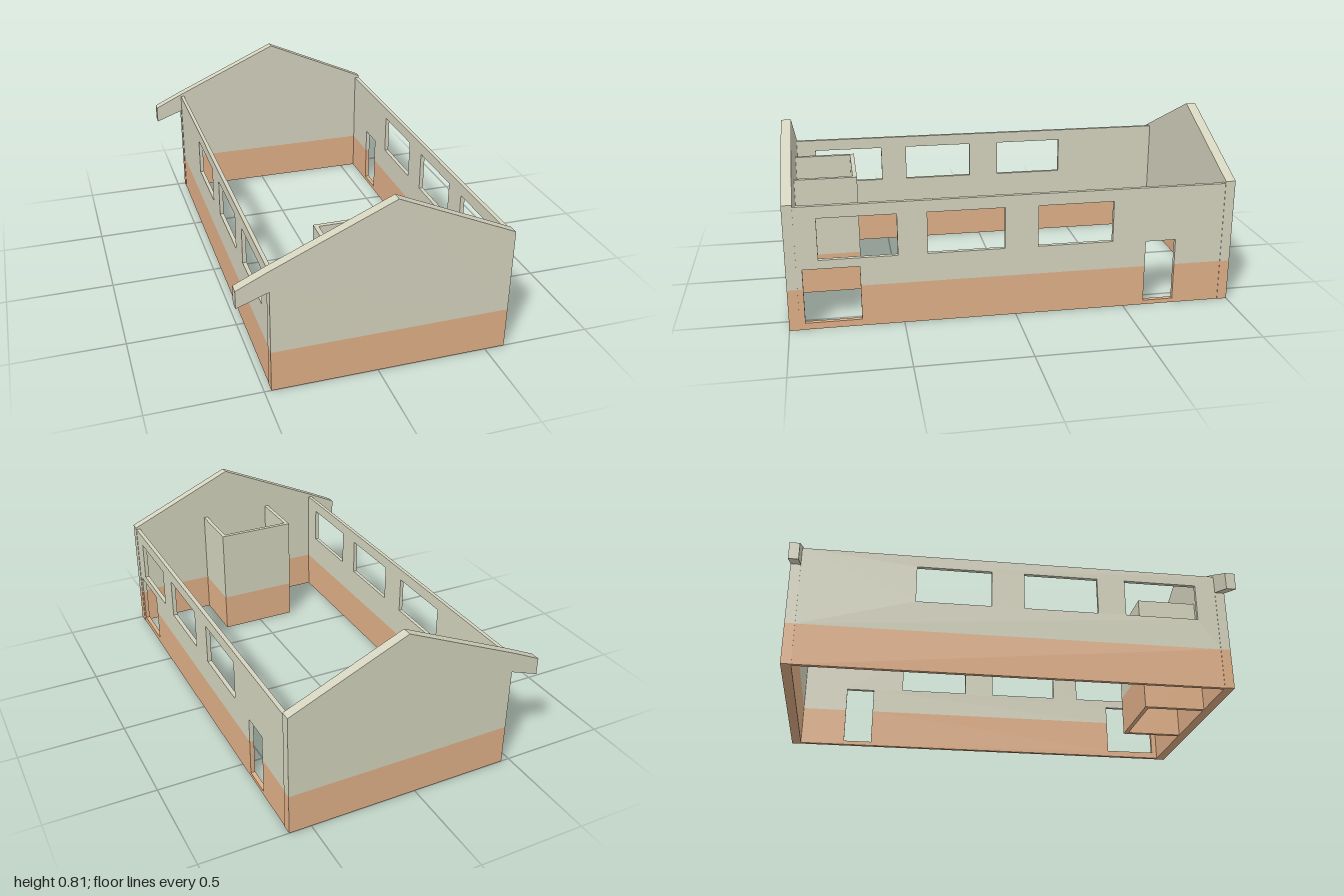
import * as THREE from 'three';

const PLASTER = new THREE.MeshStandardMaterial({ color: 0xd5d4bf });
const BASE = new THREE.MeshStandardMaterial({ color: 0xe0b088 });
const BAND = 0.19;   // top of the coloured base band
const EAVE = 0.565;  // top of the side walls
const END = 0.955;   // inner face of the gable walls

// The plan leans very slightly out of square
const LEAN = new THREE.Matrix4().set(1, 0, -0.005, 0, 0, 1, 0, 0, 0, 0, 1, 0, 0, 0, 0, 1);

const toShape = (pts) => new THREE.Shape(pts.map(([x, y]) => new THREE.Vector2(x, y)));

function addMesh(parent, name, geometry, material) {
  const mesh = new THREE.Mesh(geometry.applyMatrix4(LEAN), material);
  mesh.name = name;
  parent.add(mesh);
}

const extrude = (shape, depth) => new THREE.ExtrudeGeometry(shape, { depth, bevelEnabled: false });

// Side wall along z: doors cross the band line, windows sit above it
function sideWall(name, outerX, thickness, windows, doors) {
  const wall = new THREE.Group();
  wall.name = name;
  const lower = [[-END, 0], [END, 0], [END, BAND]];
  for (const [a, b, y] of [...doors].reverse()) lower.push([b, BAND], [b, y], [a, y], [a, BAND]);
  lower.push([-END, BAND]);
  const upper = [[-END, BAND]];
  for (const [a, b, , y] of doors) upper.push([a, BAND], [a, y], [b, y], [b, BAND]);
  upper.push([END, BAND], [END, EAVE], [-END, EAVE]);
  const upperShape = toShape(upper);
  for (const [a, b, y0, y1] of windows) {
    upperShape.holes.push(toShape([[a, y0], [a, y1], [b, y1], [b, y0]]));
  }
  const place = (shape) => extrude(shape, thickness).rotateY(-Math.PI / 2).translate(outerX, 0, 0);
  addMesh(wall, name + 'Base', place(toShape(lower)), BASE);
  addMesh(wall, name + 'Upper', place(upperShape), PLASTER);
  return wall;
}

// Gable wall with the eave overhang on one side
function gableWall(name, z) {
  const wall = new THREE.Group();
  wall.name = name;
  const L = -0.465, R = 0.597;
  const lower = toShape([[L, 0], [R, 0], [R, BAND], [L, BAND]]);
  const upper = toShape([[L, BAND], [R, BAND], [R, 0.575], [0.065, 0.81],
    [L, 0.575], [-0.602, 0.51], [-0.602, 0.43], [L, 0.48]]);
  addMesh(wall, name + 'Base', extrude(lower, 1 - END).translate(0, 0, z), BASE);
  addMesh(wall, name + 'Upper', extrude(upper, 1 - END).translate(0, 0, z), PLASTER);
  return wall;
}

// Straight partition, split at the band line
function partition(name, x0, x1, z0, z1) {
  const wall = new THREE.Group();
  wall.name = name;
  for (const [part, y0, y1, mat] of [['Base', 0, BAND, BASE], ['Upper', BAND, EAVE - 0.005, PLASTER]]) {
    const box = new THREE.BoxGeometry(x1 - x0, y1 - y0, z1 - z0);
    addMesh(wall, name + part, box.translate((x0 + x1) / 2, (y0 + y1) / 2, (z0 + z1) / 2), mat);
  }
  return wall;
}

export function createModel() {
  const house = new THREE.Group();
  house.name = 'house';

  // Gable ends
  house.add(gableWall('frontGable', END), gableWall('backGable', -1));

  // Long walls: three windows each, two doorways on the left
  const spans = [[-0.44, -0.10], [0.05, 0.39], [0.52, 0.86]];
  const windows = (sill) => spans.map(([a, b]) => [a, b, sill, 0.51]);
  const doors = [[-0.735, -0.595, 0.02, 0.31], [0.685, 0.93, 0.03, 0.28]];
  house.add(sideWall('leftWall', 0.595, 0.02, windows(0.32), doors));
  house.add(sideWall('rightWall', -0.445, 0.018, windows(0.335), []));

  // Small inner room against the front gable
  const room = new THREE.Group();
  room.name = 'innerRoom';
  room.add(
    partition('roomRightWall', -0.185, -0.165, 0.69, END),
    partition('roomLeftWall', 0.185, 0.205, 0.69, END),
    partition('roomBackWall', -0.185, 0.205, 0.67, 0.69),
  );
  house.add(room);
  return house;
}
